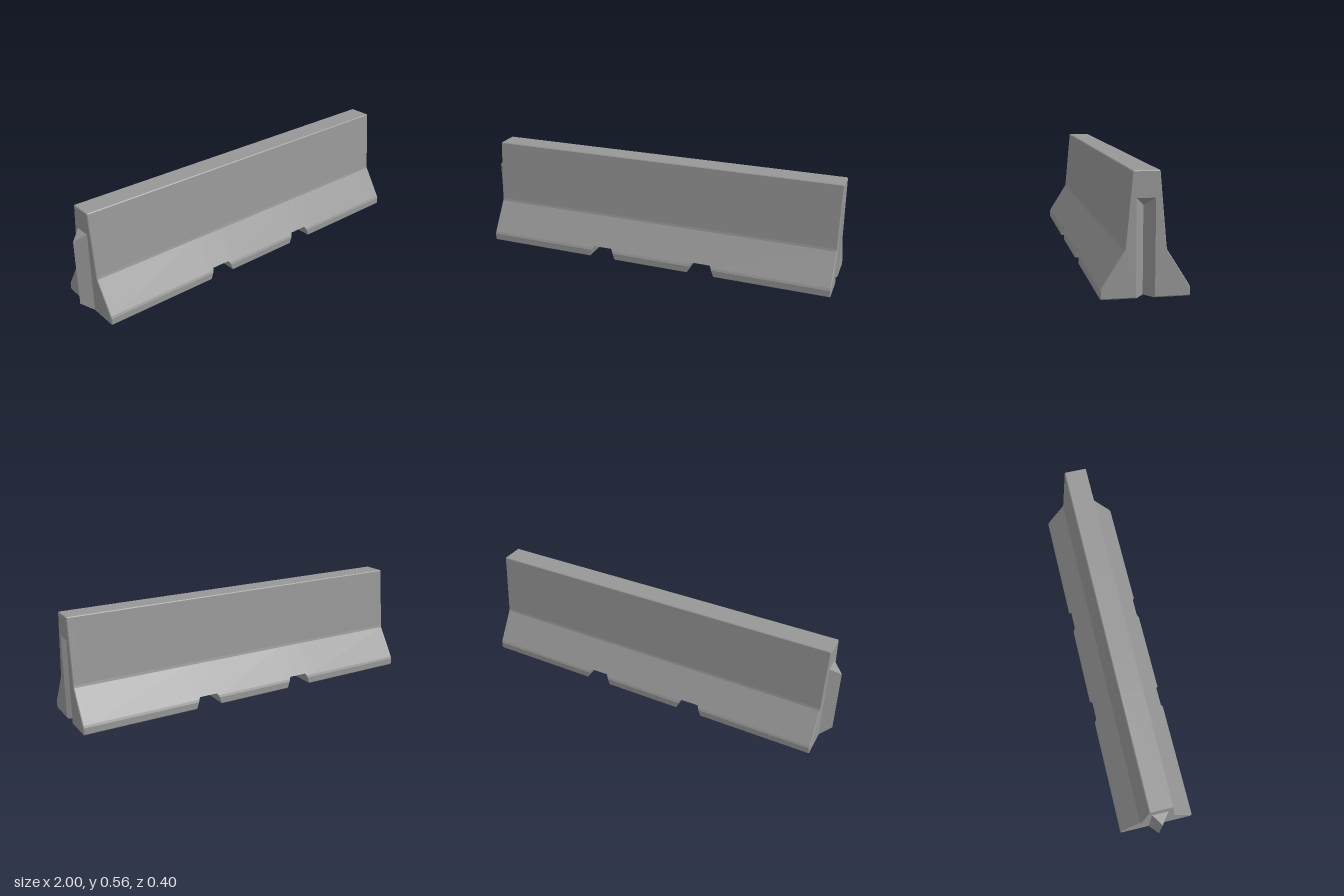
import * as THREE from 'three';
import { ConvexGeometry } from 'three/addons/geometries/ConvexGeometry.js';

// half profile of the barrier, bottom to top: [half width, height]
const TOP = 0.556;
const PROFILE = [
  [0.195, 0], [0.2, 0.005], [0.2, 0.038], [0.195, 0.05],
  [0.095, 0.209], [0.092, 0.222], [0.061, 0.552], [0.057, TOP],
];
const LEFT_END = -0.945, GROOVE_START = 0.945, BEVEL = 0.004;
const KEY = 0.042; // half width of tongue and groove

function halfWidth(y) {
  for (let i = 1; i < PROFILE.length; i++) {
    const [w0, y0] = PROFILE[i - 1], [w1, y1] = PROFILE[i];
    if (y <= y1) return w0 + (w1 - w0) * (y - y0) / (y1 - y0);
  }
  return PROFILE[PROFILE.length - 1][0];
}

// closed cross-section at x: raised to bottom b, slotted (half width g, top t), inset for end bevels
function section(x, { b = 0, g = 0, t = b, inset = 0 } = {}) {
  const side = PROFILE.map(([, h]) => {
    const y = Math.max(h, b);
    return [halfWidth(y) - inset, Math.min(y, TOP - inset)];
  });
  const half = [[g, b], ...side];
  const mirrored = half.map(([z, y]) => [-z, y]).reverse();
  return [...half, ...mirrored, [-g, t], [g, t]].map(([z, y]) => new THREE.Vector3(x, y, z));
}

// stations across one drainage notch, centred on c
function notchStations(c) {
  const rise = [[0.077, 0], [0.073, 0.005], [0.062, 0.038], [0.057, 0.05], [0.05, 0.06]];
  const left = rise.map(([d, b]) => section(c - d, { b }));
  const right = rise.map(([d, b]) => section(c + d, { b })).reverse();
  return [...left, ...right];
}

function loft(stations) {
  const positions = [];
  const ab = new THREE.Vector3(), ac = new THREE.Vector3();
  const tri = (a, b, c) => {
    ab.subVectors(b, a);
    ac.subVectors(c, a);
    if (ab.cross(ac).length() < 1e-9) return;
    for (const p of [a, b, c]) positions.push(p.x, p.y, p.z);
  };
  // skin between neighbouring sections
  for (let i = 0; i + 1 < stations.length; i++) {
    const s = stations[i], e = stations[i + 1], n = s.length;
    for (let j = 0; j < n; j++) {
      const k = (j + 1) % n;
      tri(s[j], e[j], e[k]);
      tri(s[j], e[k], s[k]);
    }
  }
  // end caps
  for (const [ring, dir] of [[stations[0], -1], [stations[stations.length - 1], 1]]) {
    const outline = ring.map((p) => new THREE.Vector2(p.z, p.y));
    for (const [i, j, k] of THREE.ShapeUtils.triangulateShape(outline, [])) {
      const a = ring[i], b = ring[j], c = ring[k];
      const nx = (b.y - a.y) * (c.z - a.z) - (b.z - a.z) * (c.y - a.y);
      if (nx * dir > 0) tri(a, b, c);
      else tri(a, c, b);
    }
  }
  const geometry = new THREE.BufferGeometry();
  geometry.setAttribute('position', new THREE.Float32BufferAttribute(positions, 3));
  geometry.computeVertexNormals();
  return geometry;
}

export function createModel() {
  const group = new THREE.Group();
  group.name = 'roadBarrier';
  // mid-grey concrete
  const material = new THREE.MeshStandardMaterial({ color: 0x979797, flatShading: true });
  const add = (name, geometry) => {
    const mesh = new THREE.Mesh(geometry, material);
    mesh.name = name;
    group.add(mesh);
  };

  // concrete body with bevelled ends, two notches and a V groove in the +x end
  const grooveAt = (x) => {
    const f = (x - GROOVE_START) / (1 - GROOVE_START);
    return { g: KEY * f, t: 0.4 + 0.038 * f };
  };
  add('barrierBody', loft([
    section(LEFT_END, { b: 0.005, inset: BEVEL }),
    section(LEFT_END + BEVEL),
    ...notchStations(-0.258),
    ...notchStations(0.312),
    section(GROOVE_START),
    section(GROOVE_START, grooveAt(GROOVE_START)),
    section(1 - BEVEL, grooveAt(1 - BEVEL)),
    section(1, { ...grooveAt(1), b: 0.005, inset: BEVEL }),
  ]));

  // wedge-shaped tongue on the -x end
  const tonguePoints = [[-1, 0.045, 0], [-1, 0.4, 0]];
  for (const z of [-KEY, KEY]) tonguePoints.push([LEFT_END, 0.006, z], [LEFT_END, 0.438, z]);
  add('tongue', new ConvexGeometry(tonguePoints.map((p) => new THREE.Vector3(...p))));

  return group;
}
